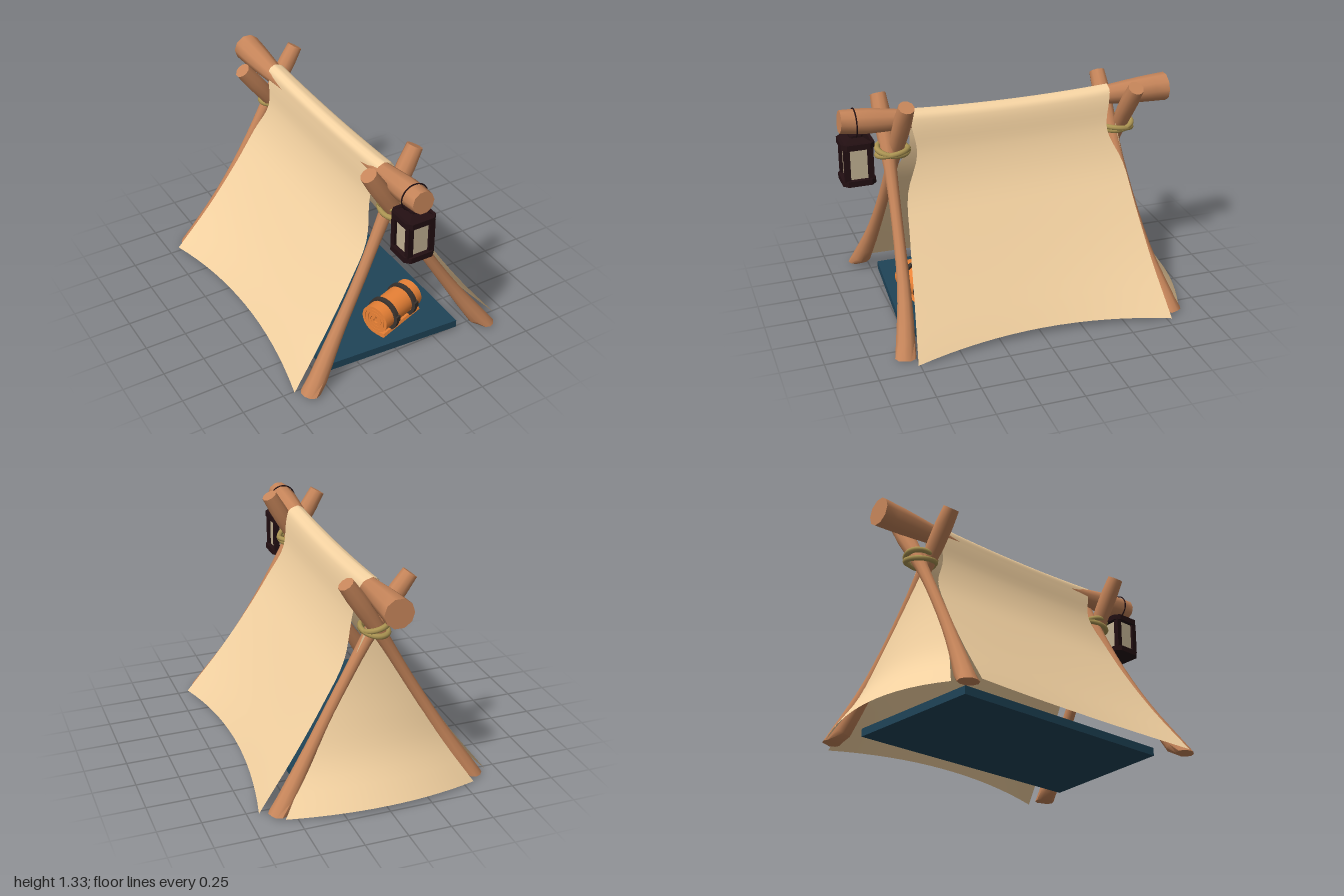
import * as THREE from 'three';
import { toCreasedNormals, mergeGeometries } from 'three/addons/utils/BufferGeometryUtils.js';

const mat = (color, side = THREE.FrontSide) => new THREE.MeshStandardMaterial({ color, side });
const wood = mat(0xc6855a);
const canvas = mat(0xf5d3a2, THREE.DoubleSide);
const blue = mat(0x1f4458);
const orange = mat(0xea8236);
const strapMat = mat(0x3a332e);
const iron = mat(0x220f12);
const glass = mat(0xc4b394);
const ropeMat = mat(0xab9452);

const V = (p) => new THREE.Vector3(...p);
const V2 = (p) => new THREE.Vector2(...p);

function mesh(name, geometry, material, parent, pos = [0, 0, 0]) {
  const m = new THREE.Mesh(geometry, material);
  m.name = name;
  m.position.set(...pos);
  parent.add(m);
  return m;
}

// Capped log along a curve, its radius eased through a list of values, cut flat at the ground
function log(points, radii, sides = 10, segs = 16) {
  const curve = new THREE.CatmullRomCurve3(points.map(V));
  const geo = new THREE.TubeGeometry(curve, segs, 1, sides);
  const pos = geo.attributes.position;
  const p = new THREE.Vector3();
  for (let i = 0; i < pos.count; i++) {
    const ring = Math.floor(i / (sides + 1));
    const t = THREE.MathUtils.clamp((ring - 1) / (segs - 2), 0, 1);
    const f = t * (radii.length - 1);
    const k = Math.min(Math.floor(f), radii.length - 2);
    const r = ring === 0 || ring === segs ? 0 : THREE.MathUtils.lerp(radii[k], radii[k + 1], f - k);
    p.fromBufferAttribute(pos, i).sub(curve.getPointAt(ring / segs)).multiplyScalar(r).add(curve.getPointAt(t));
    pos.setXYZ(i, p.x, Math.max(p.y, 0.015), p.z);
  }
  return toCreasedNormals(geo, 0.75);
}

// Cloth sheet: rule maps u, v in -1..1 to a point
function sheet(nu, nv, rule) {
  const geo = new THREE.PlaneGeometry(2, 2, nu, nv);
  const pos = geo.attributes.position;
  for (let i = 0; i < pos.count; i++) pos.setXYZ(i, ...rule(pos.getX(i), pos.getY(i)));
  geo.computeVertexNormals();
  return geo;
}

// Flat plate from a ground outline (x, -z), rising by h
const plate = (outline, h) =>
  new THREE.ExtrudeGeometry(new THREE.Shape(outline.map(V2)), { depth: h, bevelEnabled: false }).rotateX(-Math.PI / 2);

function buildLantern() {
  const g = new THREE.Group();
  g.name = 'lantern';
  const slab = (w, h) => {
    const a = w / 2, b = a - w * 0.15;
    return plate([[a, b], [b, a], [-b, a], [-a, b], [-a, -b], [-b, -a], [b, -a], [a, -b]], h);
  };
  mesh('lanternBase', slab(0.19, 0.034), iron, g, [0, 0.847, 0]);
  mesh('lanternTop', slab(0.19, 0.034), iron, g, [0, 1.066, 0]);
  const cap = new THREE.CylinderGeometry(0.04, 0.11, 0.025, 4).rotateY(Math.PI / 4).toNonIndexed();
  cap.computeVertexNormals();
  mesh('lanternCap', cap, iron, g, [0, 1.112, 0]);
  mesh('lanternNeck', slab(0.075, 0.012), iron, g, [0, 1.12, 0]);
  mesh('lanternGlass', new THREE.BoxGeometry(0.135, 0.2, 0.135), glass, g, [0, 0.975, 0]);
  for (const x of [-1, 1]) for (const z of [-1, 1])
    mesh('lanternPost', new THREE.BoxGeometry(0.033, 0.2, 0.033), iron, g, [x * 0.067, 0.975, z * 0.067]);
  mesh('lanternRing', new THREE.TorusGeometry(0.08, 0.004, 6, 32), iron, g, [0, 1.198, 0]);
  g.position.set(-0.03, 0, 0.9);
  return g;
}

function buildBedroll() {
  const g = new THREE.Group();
  g.name = 'bedroll';
  const L = 0.33, turns = 3.5, outer = [], inner = [];
  // Spiral band ending in a short loose edge that lies on the mat
  for (let i = 0; i <= 90; i++) {
    const r = 0.026 + 0.074 * (i / 90);
    const th = (i / 90 - 1) * turns * Math.PI * 2 - Math.PI / 2;
    outer.push([Math.cos(th) * r, Math.sin(th) * r]);
    inner.push([Math.cos(th) * (r - 0.018), Math.sin(th) * (r - 0.018)]);
  }
  outer.push([0.045, -0.102], [0.066, -0.098], [0.074, -0.086]);
  inner.push([0.04, -0.074], [0.066, -0.07]);
  const band = new THREE.Shape([...outer, ...inner.reverse()].map(V2));
  const geo = new THREE.ExtrudeGeometry(band, { depth: L, bevelEnabled: false });
  geo.translate(0, 0, -L / 2).rotateY(-Math.PI / 2);
  mesh('rolledBlanket', toCreasedNormals(geo, 0.6), orange, g);
  // Filler between the turns of the spiral
  mesh('rollCore', new THREE.CylinderGeometry(0.08, 0.08, L - 0.02, 24).rotateZ(Math.PI / 2), orange, g);
  for (const x of [-0.085, 0.085]) {
    const prof = [[0.085, -0.013], [0.105, -0.013], [0.105, 0.013], [0.085, 0.013], [0.085, -0.013]].map(V2);
    const ring = toCreasedNormals(new THREE.LatheGeometry(prof, 28), 0.6).rotateZ(Math.PI / 2);
    mesh('strap', ring, strapMat, g, [x, 0, 0]);
    mesh('buckle', new THREE.BoxGeometry(0.034, 0.038, 0.012), strapMat, g, [x, 0.015, 0.104]);
  }
  g.position.set(0.085, 0.169, 0.57);
  g.rotation.y = 0.33;
  return g;
}

export function createModel() {
  const root = new THREE.Group();
  root.name = 'tent';

  // Ridge pole with flared ends, slim under the cover
  mesh('ridgePole', log([[-0.03, 1.212, 0.985], [-0.03, 1.18, 0.6], [-0.03, 1.16, 0], [-0.03, 1.174, -0.6], [-0.025, 1.185, -0.998]],
    [0.066, 0.074, 0.064, 0.052, 0.046, 0.044, 0.043, 0.043, 0.043, 0.044, 0.046, 0.052, 0.066, 0.078, 0.085], 10, 26), wood, root);

  // Crossed poles: foot, bowed middle, crossing and top
  const poleRadii = [0.06, 0.053, 0.044, 0.037, 0.034, 0.033, 0.033, 0.036, 0.047, 0.055, 0.047];
  const poles = {
    frontPoleRight: [[-0.61, -0.015, 0.81], [-0.42, 0.29, 0.75], [-0.24, 0.6, 0.71], [-0.02, 1.03, 0.665], [0.14, 1.315, 0.64]],
    frontPoleLeft: [[0.59, -0.015, 0.81], [0.39, 0.29, 0.755], [0.2, 0.6, 0.73], [-0.045, 1.03, 0.715], [-0.2, 1.285, 0.72]],
    backPoleRight: [[-0.6, -0.015, -0.795], [-0.42, 0.29, -0.745], [-0.24, 0.6, -0.715], [-0.01, 1.0, -0.71], [0.165, 1.27, -0.725]],
    backPoleLeft: [[0.59, -0.015, -0.82], [0.39, 0.29, -0.74], [0.2, 0.6, -0.69], [-0.05, 1.0, -0.65], [-0.235, 1.25, -0.645]],
  };
  for (const [name, pts] of Object.entries(poles)) mesh(name, log(pts, poleRadii), wood, root);

  // Rope lashings: two tilted coils at each crossing
  for (const [name, y, z, s] of [['frontLashing', 1.01, 0.692, 1], ['backLashing', 0.985, -0.688, -1]]) {
    const coils = [[0.14, 0.12, 0], [-0.14, -0.25, 0.018]].map(([rx, rz, dy]) =>
      new THREE.TorusGeometry(0.08, 0.016, 8, 28).rotateX(Math.PI / 2).scale(0.95, 1, 1.12)
        .rotateX(rx * s).rotateZ(rz).translate(0, dy - 0.01, 0));
    mesh(name, mergeGeometries(coils), ropeMat, root, [-0.015, y, z]);
  }

  // Main cover: half section as (x, y, half length), mirrored over the ridge
  const section = new THREE.CatmullRomCurve3([[0, 1.243, 0.615], [0.045, 1.222, 0.612], [0.064, 1.16, 0.6], [0.086, 1.0, 0.58],
    [0.155, 0.8, 0.66], [0.28, 0.58, 0.69], [0.465, 0.3, 0.725], [0.685, 0.008, 0.77]].map(V));
  mesh('canvasCover', sheet(56, 16, (u, w) => {
    const t = Math.abs(u), p = section.getPoint(t), sag = 1 - w * w;
    const x = Math.sign(u) * p.x * (1 - 0.13 * sag * t * t) - 0.03 * (1 - t) ** 2;
    return [x, p.y + sag * (0.04 * t * t - 0.02 * (1 - t)), p.z * w - 0.008];
  }), canvas, root);

  // Back flap flaring outwards at the ground
  const flap = new THREE.CatmullRomCurve3([[0.03, 1.0, -0.67], [0.14, 0.75, -0.7], [0.275, 0.5, -0.755], [0.41, 0.25, -0.84], [0.565, 0.015, -0.99]].map(V));
  mesh('backFlap', sheet(14, 16, (u, v) => {
    const t = (1 - v) / 2, p = flap.getPoint(t);
    return [u * p.x - 0.015 * (1 - t), p.y + 0.03 * t * (1 - u * u) - 0.01 * t, p.z + 0.11 * u * u * t * t];
  }), canvas, root);

  // Ground mat, slightly longer on one side, and gear
  mesh('groundMat', plate([[-0.455, -0.715], [0.405, -0.77], [0.405, 0.745], [-0.455, 0.7]], 0.048), blue, root, [0, 0.02, 0]);
  root.add(buildBedroll(), buildLantern());
  return root;
}
